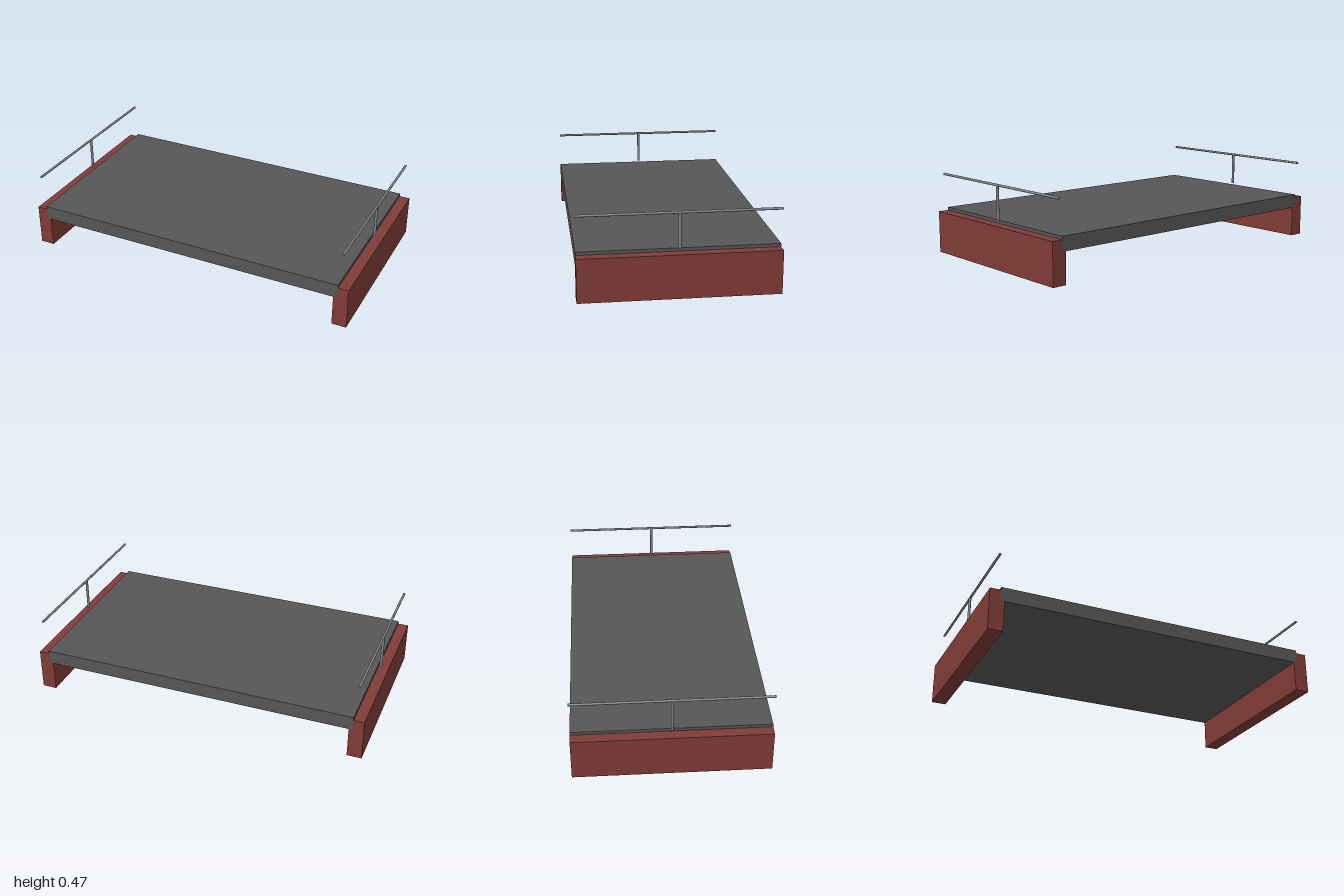
import * as THREE from 'three';

export function createModel() {
  const model = new THREE.Group();
  const material = (name, color) => {
    const m = new THREE.MeshStandardMaterial({ color });
    m.name = name;
    return m;
  };
  const brick = material('brick red', 0x803b36);
  const asphalt = material('asphalt grey', 0x565656);
  const steel = material('steel grey', 0x80868a);

  const add = (name, geometry, mat, x, y, z = 0) => {
    const mesh = new THREE.Mesh(geometry, mat);
    mesh.name = name;
    mesh.position.set(x, y, z);
    model.add(mesh);
    return mesh;
  };

  const depth = 1.094;

  // Road slab spanning both abutments
  add('deck', new THREE.BoxGeometry(1.876, 0.082, depth), asphalt, 0, 0.221);

  for (const [side, s] of [['left', 1], ['right', -1]]) {
    // Abutment wall, notched to seat the slab
    const profile = new THREE.Shape([
      [0.915, 0], [1, 0], [1, 0.244], [0.938, 0.244], [0.938, 0.18], [0.915, 0.18],
    ].map(([x, y]) => new THREE.Vector2(s * x, y)));
    const wall = new THREE.ExtrudeGeometry(profile, { depth, bevelEnabled: false });
    add(side + 'Abutment', wall, brick, 0, 0, -depth / 2);

    // Single post carrying a long handrail
    add(side + 'Post', new THREE.CylinderGeometry(0.008, 0.008, 0.195, 16), steel, s * 0.956, 0.3645);
    const rail = new THREE.CylinderGeometry(0.007, 0.007, depth, 16).rotateX(Math.PI / 2);
    add(side + 'Handrail', rail, steel, s * 0.955, 0.462);
  }
  return model;
}
